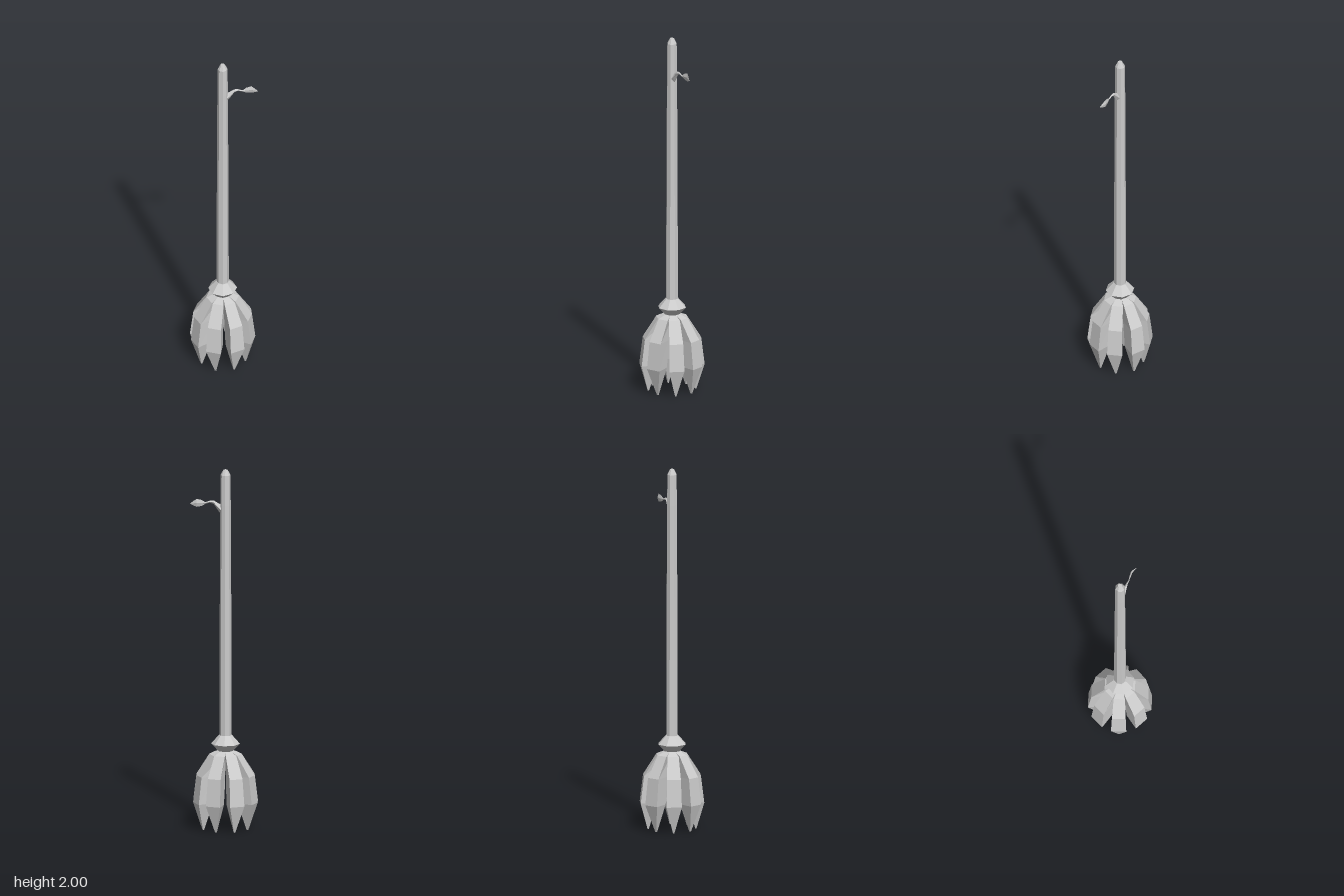
import * as THREE from 'three';

const material = new THREE.MeshStandardMaterial({ color: 0xcccccc, flatShading: true, side: THREE.DoubleSide });

// Skin a list of equally sized rings of points and cap both ends.
function loft(rings) {
  const pos = [];
  const tri = (a, b, c) => pos.push(...a, ...b, ...c);
  const n = rings[0].length;
  for (let r = 0; r < rings.length - 1; r++) {
    const a = rings[r], b = rings[r + 1];
    for (let i = 0; i < n; i++) {
      const j = (i + 1) % n;
      tri(a[i], a[j], b[j]);
      tri(a[i], b[j], b[i]);
    }
  }
  const first = rings[0], last = rings[rings.length - 1];
  for (let i = 1; i < n - 1; i++) {
    tri(first[0], first[i + 1], first[i]);
    tri(last[0], last[i], last[i + 1]);
  }
  const g = new THREE.BufferGeometry();
  g.setAttribute('position', new THREE.Float32BufferAttribute(pos, 3));
  g.computeVertexNormals();
  return g;
}

function part(name, geometry, parent) {
  const m = new THREE.Mesh(geometry, material);
  m.name = name;
  parent.add(m);
  return m;
}

const lathe = (profile) =>
  new THREE.LatheGeometry(profile.map(([r, y]) => new THREE.Vector2(r, y)), 8);

// Diamond section across a twig running along +x.
const diamond = ([x, y, z, halfY, halfZ]) => [
  [x, y, z - halfZ], [x, y + halfY, z], [x, y, z + halfZ], [x, y - halfY, z],
];

export function createModel() {
  const group = new THREE.Group();
  const broom = new THREE.Group();
  broom.name = 'broom';
  broom.position.set(-0.011, 0, 0.003);
  group.add(broom);

  // Eight-sided handle with a chamfered top
  part('handle', lathe([
    [0, 0.45], [0.034, 0.45], [0.033, 0.9], [0.031, 1.4], [0.029, 1.8],
    [0.027, 1.97], [0.012, 2], [0, 2],
  ]), broom);

  // Binding between handle and bristles
  part('collar', lathe([
    [0, 0.4], [0.045, 0.42], [0.04, 0.43], [0.079, 0.472], [0.036, 0.52], [0, 0.52],
  ]), broom);

  // Bristle clumps: y, inner radius, outer radius, inner and outer half width
  const clumpGeometry = loft([
    [0.435, 0.0, 0.035, 0.005, 0.015],
    [0.415, 0.01, 0.083, 0.008, 0.031],
    [0.30, 0.06, 0.156, 0.022, 0.038],
    [0.15, 0.085, 0.174, 0.028, 0.042],
    [0.0, 0.127, 0.134, 0.003, 0.004],
  ].map(([y, rIn, rOut, wIn, wOut]) => [
    [rIn, y, -wIn], [rOut, y, -wOut], [rOut, y, wOut], [rIn, y, wIn],
  ]));
  const bristles = new THREE.Group();
  bristles.name = 'bristles';
  broom.add(bristles);
  for (let i = 0; i < 8; i++) {
    part('bristleClump', clumpGeometry, bristles).rotation.y = THREE.MathUtils.degToRad(26 + i * 45);
  }

  // Side twig: x, y, z, half height, half depth
  part('twig', loft([
    [0.01, 1.765, 0, 0.035, 0.02],
    [0.035, 1.787, 0, 0.023, 0.013],
    [0.065, 1.818, -0.001, 0.01, 0.008],
    [0.085, 1.821, -0.003, 0.006, 0.005],
    [0.113, 1.812, -0.004, 0.004, 0.003],
  ].map(diamond)), broom);

  // Thin leaf on the end of the twig
  part('leaf', loft([
    [0.107, 1.813, -0.004, 0.003, 0.002],
    [0.130, 1.814, -0.009, 0.017, 0.004],
    [0.157, 1.815, -0.013, 0.022, 0.005],
    [0.175, 1.812, -0.009, 0.013, 0.003],
    [0.194, 1.808, -0.004, 0.001, 0.001],
  ].map(diamond)), broom);

  return group;
}
